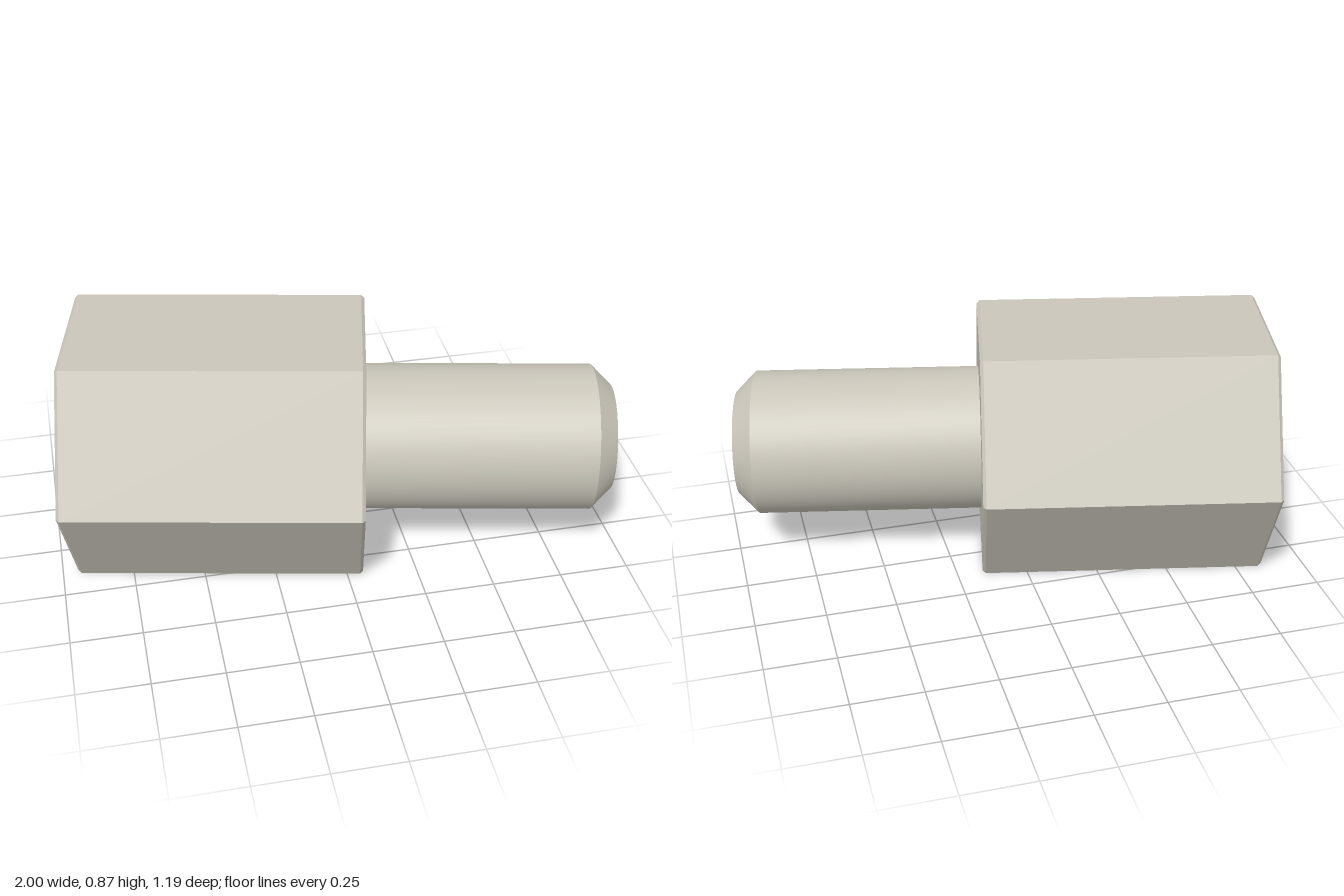
import * as THREE from 'three';
import { toCreasedNormals } from 'three/addons/utils/BufferGeometryUtils.js';

const R = 0.5;          // hex corner radius
const LENGTH = 1.025;   // hex body length
const EDGE = 0.011;     // small edge chamfer
const TIP = 1.898;      // stud end, measured from the socket face
const BORE = 0.217, MOUTH = 0.283, DEPTH = 0.72;

// Revolve [radius, distance] pairs around the z axis, keeping hard edges
function turned(profile, sides) {
  const points = profile.map(([r, d]) => new THREE.Vector2(r, d));
  const geometry = new THREE.LatheGeometry(points, sides, Math.PI / 2);
  geometry.rotateX(Math.PI / 2);
  return toCreasedNormals(geometry, 0.5);
}

export function createModel() {
  const metal = new THREE.MeshStandardMaterial({ color: 0xcac6ba });
  metal.name = 'warm grey metal';

  const model = new THREE.Group();
  model.name = 'hexStandoff';
  const add = (name, geometry) => {
    const mesh = new THREE.Mesh(geometry, metal);
    mesh.name = name;
    model.add(mesh);
  };

  // Six-sided body with lightly chamfered ends, open at the socket face
  add('hexBody', turned([
    [R - EDGE, 0], [R, EDGE], [R, LENGTH - EDGE], [R - EDGE, LENGTH], [0, LENGTH],
  ], 6));

  // Hexagonal end face around the socket mouth
  const face = new THREE.Shape();
  for (let i = 0; i < 6; i++) {
    const a = i * Math.PI / 3;
    const x = (R - EDGE) * Math.cos(a), y = (R - EDGE) * Math.sin(a);
    if (i) face.lineTo(x, y); else face.moveTo(x, y);
  }
  face.closePath();
  face.holes.push(new THREE.Path().absarc(0, 0, MOUTH, 0, Math.PI * 2, true));
  add('socketFace', new THREE.ShapeGeometry(face, 64).rotateY(Math.PI));

  // Blind bore with a countersunk mouth
  add('socketBore', turned([
    [0, DEPTH], [BORE, DEPTH], [BORE, MOUTH - BORE], [MOUTH, 0],
  ], 64));

  // Round stud with a chamfered tip
  add('stud', turned([
    [0.259, LENGTH - 0.005], [0.259, TIP - 0.071], [0.188, TIP], [0, TIP],
  ], 64));

  // Lay the axis level, turned slightly towards the front
  model.rotation.y = Math.atan2(0.978, 0.207);
  model.position.set(-0.895, R * Math.sqrt(3) / 2, -0.106);

  const root = new THREE.Group();
  root.name = 'standoff';
  root.add(model);
  return root;
}
